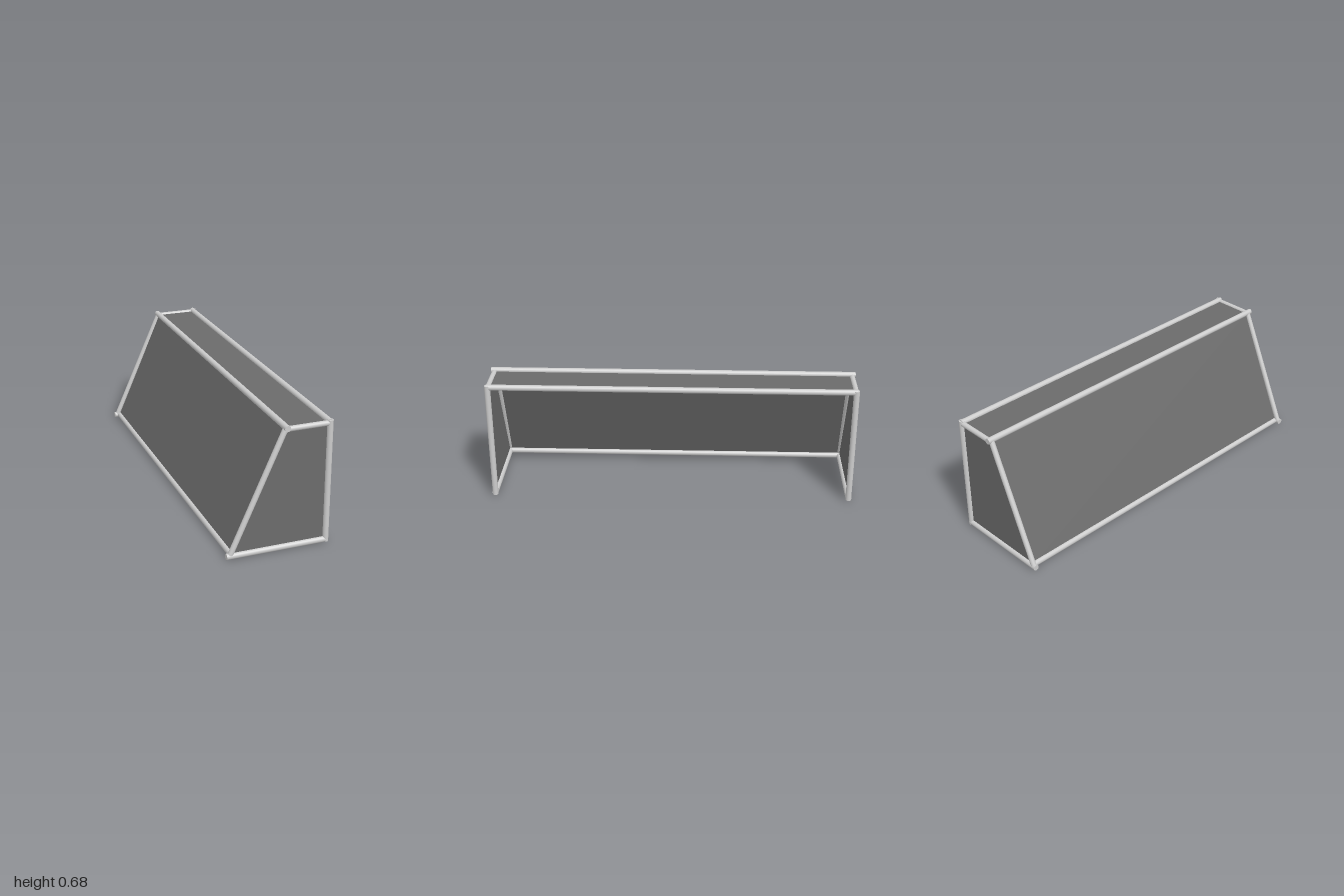
import * as THREE from 'three';

const R = 0.016;
const frameMat = new THREE.MeshStandardMaterial({ color: 0xcccccc });
const netMat = new THREE.MeshStandardMaterial({ color: 0x6b6b6b, side: THREE.DoubleSide });

// Round pipe running between two points
function pipe(name, from, to, radius = R) {
  const a = new THREE.Vector3(...from);
  const b = new THREE.Vector3(...to);
  const dir = b.clone().sub(a);
  const mesh = new THREE.Mesh(new THREE.CylinderGeometry(radius, radius, dir.length(), 24), frameMat);
  mesh.position.copy(a).add(b).multiplyScalar(0.5);
  mesh.quaternion.setFromUnitVectors(new THREE.Vector3(0, 1, 0), dir.normalize());
  mesh.name = name;
  return mesh;
}

// Flat four-cornered net panel
function panel(name, corners) {
  const geo = new THREE.BufferGeometry();
  geo.setAttribute('position', new THREE.Float32BufferAttribute(corners.flat(), 3));
  geo.setIndex([0, 1, 2, 0, 2, 3]);
  geo.computeVertexNormals();
  const mesh = new THREE.Mesh(geo, netMat);
  mesh.name = name;
  return mesh;
}

export function createModel() {
  const goal = new THREE.Group();
  goal.name = 'goal';

  // Long bars
  goal.add(
    pipe('crossbar', [0.258, 0.66, -0.988], [0.258, 0.66, 0.988]),
    pipe('topRearBar', [0.028, 0.661, -1], [0.028, 0.661, 1]),
    pipe('bottomRearBar', [-0.245, 0.018, -0.985], [-0.245, 0.018, 0.985]),
  );

  // End frames and side nets, mirrored
  for (const s of [1, -1]) {
    const side = new THREE.Group();
    side.name = s > 0 ? 'frontEnd' : 'backEnd';
    const z = 0.982 * s;
    side.add(
      pipe('post', [0.26, 0.008, z], [0.26, 0.67, z]),
      pipe('groundBar', [-0.278, 0.018, z], [0.265, 0.018, z]),
      pipe('topSideBar', [0.028, 0.654, z], [0.258, 0.654, z], 0.014),
      pipe('slantedBar', [-0.259, 0.02, z], [0.028, 0.66, 0.977 * s], 0.0145),
      panel('sideNet', [[-0.252, 0.018, z], [0.26, 0.018, z], [0.26, 0.655, z], [0.028, 0.655, z]]),
    );
    goal.add(side);
  }

  // Top and sloping rear nets
  goal.add(
    panel('topNet', [[0.028, 0.658, 0.98], [0.258, 0.658, 0.98], [0.258, 0.658, -0.98], [0.028, 0.658, -0.98]]),
    panel('rearNet', [[-0.25, 0.018, -0.98], [-0.25, 0.018, 0.98], [0.028, 0.66, 0.98], [0.028, 0.66, -0.98]]),
  );
  return goal;
}
